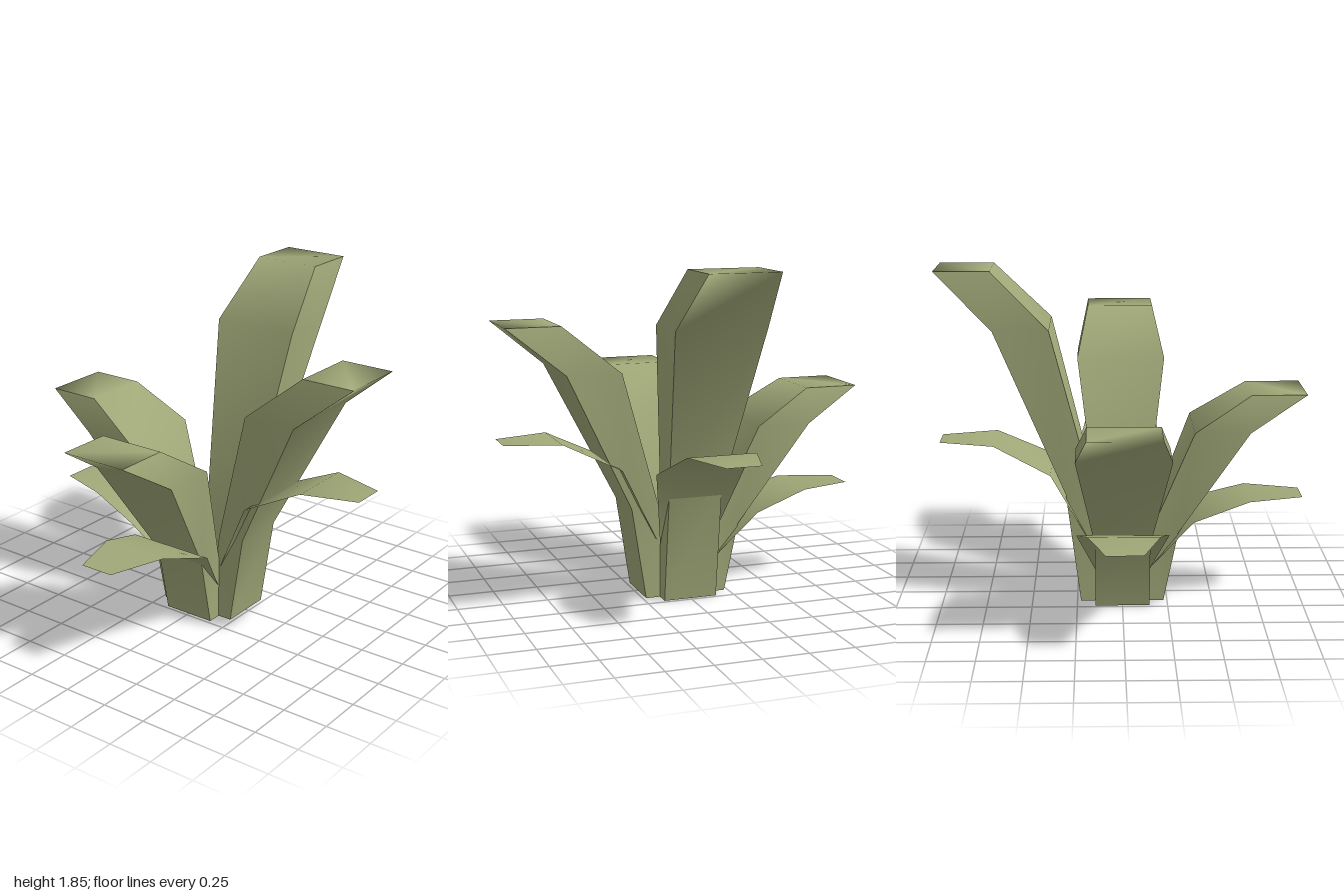
import * as THREE from 'three';

const leafGreen = new THREE.MeshStandardMaterial({ color: 0xa0a878, side: THREE.DoubleSide });
leafGreen.name = 'leafGreen';

// Sections as [reach, height fraction, half width]
const INNER = [[0.08, 0, 0.15], [0.155, 1 / 3, 0.15], [0.39, 5 / 6, 0.25], [0.7, 1, 0.19]];
const OUTER = [[0.23, 0, 0.15], [0.31, 1 / 3, 0.15], [0.69, 5 / 6, 0.25], [1, 1, 0.19]];

function build(positions, index, name) {
  const geometry = new THREE.BufferGeometry();
  geometry.setAttribute('position', new THREE.Float32BufferAttribute(positions, 3));
  geometry.setIndex(index);
  geometry.computeVertexNormals();
  const mesh = new THREE.Mesh(geometry, leafGreen);
  mesh.name = name;
  return mesh;
}

// Smooth band that follows a profile, spanning its width
function band(profile, height, name) {
  const positions = [], index = [];
  profile.forEach(([z, y, w], i) => {
    positions.push(-w, y * height, z, w, y * height, z);
    if (i < profile.length - 1) {
      const a = i * 2;
      index.push(a, a + 2, a + 1, a + 1, a + 2, a + 3);
    }
  });
  return build(positions, index, name);
}

// Side wall joining the inner and outer profiles
function sideWall(side, height, name) {
  const positions = [], index = [];
  INNER.forEach(([z, y, w], i) => {
    positions.push(side * w, y * height, z, side * w, y * height, OUTER[i][0]);
    if (i < INNER.length - 1) {
      const a = i * 2;
      if (side > 0) index.push(a, a + 2, a + 1, a + 1, a + 2, a + 3);
      else index.push(a, a + 1, a + 2, a + 1, a + 3, a + 2);
    }
  });
  return build(positions, index, name);
}

function thickLeaf(height) {
  const leaf = new THREE.Group();
  leaf.name = 'thickLeaf';
  leaf.add(
    band([...INNER, ...[...OUTER].reverse()], height, 'leafFaces'),
    sideWall(1, height, 'leafLeftSide'),
    sideWall(-1, height, 'leafRightSide')
  );
  return leaf;
}

// Thin lower leaf with a narrowed tip
const thinLeaf = (height) => band([...INNER, [1, 1, 0.095]], height, 'thinLeaf');

export function createModel() {
  const model = new THREE.Group();
  model.name = 'leafyPlant';

  // Four leaf pairs: front, left, back, right
  const heights = [[1.18, 0.58], [1.53, 0.9], [1.85, 0.9], [1.13, 0.55]];
  heights.forEach(([tall, low], i) => {
    const pair = new THREE.Group();
    pair.name = ['front', 'left', 'back', 'right'][i] + 'Leaves';
    pair.add(thickLeaf(tall), thinLeaf(low));
    pair.rotation.y = i * Math.PI / 2;
    model.add(pair);
  });

  // Cross-shaped floor closing the base
  const a = 0.15, b = 0.23;
  const cross = new THREE.Shape([
    [a, b], [-a, b], [-a, a], [-b, a], [-b, -a], [-a, -a],
    [-a, -b], [a, -b], [a, -a], [b, -a], [b, a], [a, a]
  ].map(([x, y]) => new THREE.Vector2(x, y)));
  const base = new THREE.Mesh(new THREE.ShapeGeometry(cross), leafGreen);
  base.name = 'base';
  base.rotation.x = -Math.PI / 2;
  model.add(base);
  return model;
}
